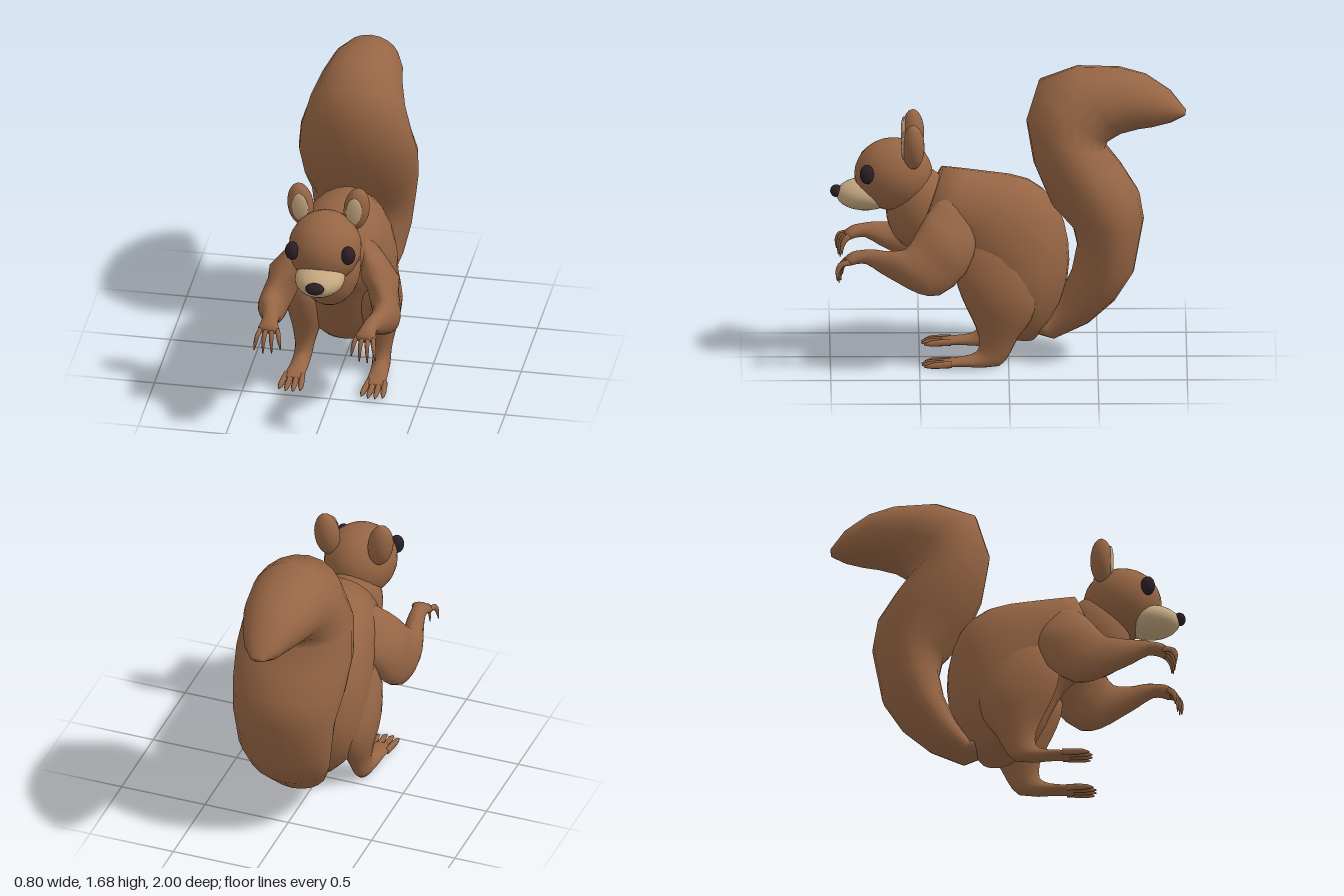
import * as THREE from 'three';

const mat = (name, color) => {
  const m = new THREE.MeshStandardMaterial({ color });
  m.name = name;
  return m;
};

// Smooth closed loft. Each section is an ellipse: [frontZ, frontY, backZ, backY, halfWidth, centreX]
function loft(sections, sides = 20, steps = 2) {
  const s = sections.map(([fz, fy, bz, by, w, x = 0]) => ({
    f: new THREE.Vector3(x, fy, fz), b: new THREE.Vector3(x, by, bz), w: new THREE.Vector3(w, 0, 0),
  }));
  // keep the faces outward whichever way the sections run
  const T = s[1].f.clone().add(s[1].b).sub(s[0].f).sub(s[0].b);
  const A = s[0].f.clone().sub(s[0].b);
  if (T.y * A.z - T.z * A.y < 0) s.reverse();

  const curve = (k) => new THREE.CatmullRomCurve3(s.map((q) => q[k]));
  const cf = curve('f'), cb = curve('b'), cw = curve('w');
  const rings = (s.length - 1) * steps + 1;
  const pos = [], index = [];
  for (let j = 0; j < rings; j++) {
    const t = j / (rings - 1);
    const f = cf.getPoint(t), b = cb.getPoint(t), w = cw.getPoint(t).x;
    const c = f.clone().add(b).multiplyScalar(0.5);
    const a = f.clone().sub(b).multiplyScalar(0.5);
    for (let i = 0; i < sides; i++) {
      const th = (i / sides) * Math.PI * 2, co = Math.cos(th), si = Math.sin(th);
      pos.push(c.x + a.x * co + w * si, c.y + a.y * co, c.z + a.z * co);
      if (j < rings - 1) {
        const p = j * sides + i, q = j * sides + ((i + 1) % sides);
        index.push(p, q, p + sides, q, q + sides, p + sides);
      }
    }
  }
  // end caps
  for (const j of [0, rings - 1]) {
    const c = cf.getPoint(j ? 1 : 0).add(cb.getPoint(j ? 1 : 0)).multiplyScalar(0.5);
    const n = pos.length / 3;
    pos.push(c.x, c.y, c.z);
    for (let i = 0; i < sides; i++) {
      const p = j * sides + i, q = j * sides + ((i + 1) % sides);
      if (j) index.push(p, q, n);
      else index.push(q, p, n);
    }
  }
  const g = new THREE.BufferGeometry();
  g.setAttribute('position', new THREE.Float32BufferAttribute(pos, 3));
  g.setIndex(index);
  g.computeVertexNormals();
  return g;
}

export function createModel() {
  const fur = mat('brown fur', 0x966544);
  const cream = mat('cream', 0xc4a880);
  const dark = mat('dark', 0x2b2024);
  const model = new THREE.Group();
  model.name = 'squirrel';

  const add = (name, geometry, material) => {
    const m = new THREE.Mesh(geometry, material);
    m.name = name;
    model.add(m);
    return m;
  };
  const ball = (name, material, [x, y, z], [rx, ry, rz], tilt = 0) => {
    const m = add(name, new THREE.SphereGeometry(1, 24, 16), material);
    m.position.set(x, y, z);
    m.scale.set(rx, ry, rz);
    m.rotation.z = tilt;
  };

  // Trunk
  add('body', loft([
    [0.06, 0.14, -0.15, 0.105, 0.12],
    [0.16, 0.24, -0.25, 0.24, 0.225],
    [0.25, 0.42, -0.33, 0.45, 0.285],
    [0.32, 0.55, -0.335, 0.67, 0.29],
    [0.4, 0.62, -0.265, 0.89, 0.275],
    [0.46, 0.65, -0.12, 1.02, 0.25],
    [0.51, 0.68, 0.1, 1.065, 0.225],
    [0.52, 0.71, 0.37, 1.1, 0.18],
  ], 24), fur);
  ball('neck', fur, [0, 0.862, 0.5], [0.176, 0.24, 0.188]);

  // Bushy S-shaped tail with an angular outline
  add('tail', loft([
    [-0.06, 0.3, -0.08, 0.15, 0.05],
    [-0.2, 0.21, -0.26, 0.108, 0.12],
    [-0.29, 0.35, -0.45, 0.2, 0.18],
    [-0.355, 0.5, -0.6, 0.335, 0.24],
    [-0.385, 0.65, -0.705, 0.5, 0.275],
    [-0.36, 0.76, -0.76, 0.8, 0.3],
    [-0.235, 0.9, -0.735, 0.95, 0.325],
    [-0.14, 1.13, -0.64, 1.1, 0.34],
    [-0.1, 1.37, -0.545, 1.22, 0.315],
    [-0.17, 1.6, -0.565, 1.26, 0.27],
    [-0.38, 1.68, -0.635, 1.3, 0.23],
    [-0.62, 1.675, -0.73, 1.325, 0.2],
    [-0.77, 1.635, -0.81, 1.335, 0.16],
    [-0.91, 1.54, -0.91, 1.36, 0.11],
    [-0.995, 1.43, -0.99, 1.4, 0.04],
  ], 20, 1), fur);

  // Head
  ball('head', fur, [0, 1.06, 0.645], [0.205, 0.205, 0.22]);
  ball('muzzle', cream, [0, 0.945, 0.803], [0.14, 0.09, 0.165]);
  ball('nose', dark, [0, 0.962, 0.965], [0.053, 0.034, 0.035]);

  for (const side of [1, -1]) {
    const label = side > 0 ? 'left' : 'right';
    const limb = (name, sections, sides) =>
      add(label + name, loft(sections.map((q) => [...q.slice(0, 5), q[5] * side]), sides), fur);

    ball(label + 'Eye', dark, [0.16 * side, 1.1, 0.795], [0.04, 0.055, 0.04]);
    ball(label + 'Ear', fur, [0.16 * side, 1.258, 0.535], [0.073, 0.13, 0.063], -0.12 * side);
    ball(label + 'InnerEar', cream, [0.153 * side, 1.265, 0.587], [0.046, 0.085, 0.016], -0.08 * side);

    // Arm from shoulder through bent elbow to palm
    limb('Arm', [
      [0.36, 0.99, 0.16, 0.86, 0.06, 0.13],
      [0.46, 0.88, 0.17, 0.74, 0.09, 0.212],
      [0.53, 0.77, 0.24, 0.56, 0.09, 0.28],
      [0.58, 0.71, 0.39, 0.44, 0.08, 0.32],
      [0.64, 0.7, 0.5, 0.45, 0.075, 0.322],
      [0.7, 0.695, 0.62, 0.51, 0.062, 0.308],
      [0.76, 0.7, 0.72, 0.565, 0.052, 0.292],
      [0.83, 0.692, 0.8, 0.615, 0.045, 0.282],
      [0.88, 0.68, 0.85, 0.615, 0.052, 0.278],
      [0.92, 0.648, 0.89, 0.605, 0.052, 0.275],
    ]);
    // Leg from thigh to sole
    limb('Leg', [
      [0.22, 0.74, -0.02, 0.74, 0.05, 0.2],
      [0.3, 0.55, -0.12, 0.56, 0.11, 0.205],
      [0.265, 0.4, -0.16, 0.4, 0.12, 0.208],
      [0.21, 0.28, -0.13, 0.27, 0.1, 0.208],
      [0.17, 0.18, -0.055, 0.17, 0.07, 0.215],
      [0.17, 0.1, -0.01, 0.08, 0.052, 0.22],
      [0.21, 0.07, 0.05, 0.005, 0.05, 0.225],
      [0.28, 0.055, 0.26, 0.003, 0.054, 0.23],
      [0.37, 0.043, 0.36, 0.004, 0.06, 0.235],
    ]);

    // Curled, splayed fingers and flat toes
    for (let k = 0; k < 4; k++) {
      const u = k - 1.5, outer = Math.abs(u) > 1 ? 1 : 0;
      const x = 0.274 + u * 0.03, dz = u * 0.01, lift = outer * 0.025;
      limb('Finger' + (k + 1), [
        [0.895, 0.65, 0.88, 0.615, 0.015, x],
        [0.94 + dz, 0.632, 0.912 + dz, 0.61, 0.014, x + u * 0.007],
        [0.958 + dz, 0.585, 0.934 + dz, 0.578, 0.011, x + u * 0.013],
        [0.95 + dz, 0.51 + lift, 0.945 + dz, 0.508 + lift, 0.003, x + u * 0.018],
      ], 8);
      const tx = 0.235 + u * 0.031, short = outer * 0.015;
      limb('Toe' + (k + 1), [
        [0.32, 0.046, 0.32, 0.006, 0.016, tx],
        [0.4, 0.042, 0.4, 0.004, 0.017, tx + u * 0.005],
        [0.455 - short, 0.036, 0.455 - short, 0.006, 0.014, tx + u * 0.008],
        [0.488 - short, 0.02, 0.488 - short, 0.012, 0.004, tx + u * 0.009],
      ], 8);
    }
  }
  return model;
}
